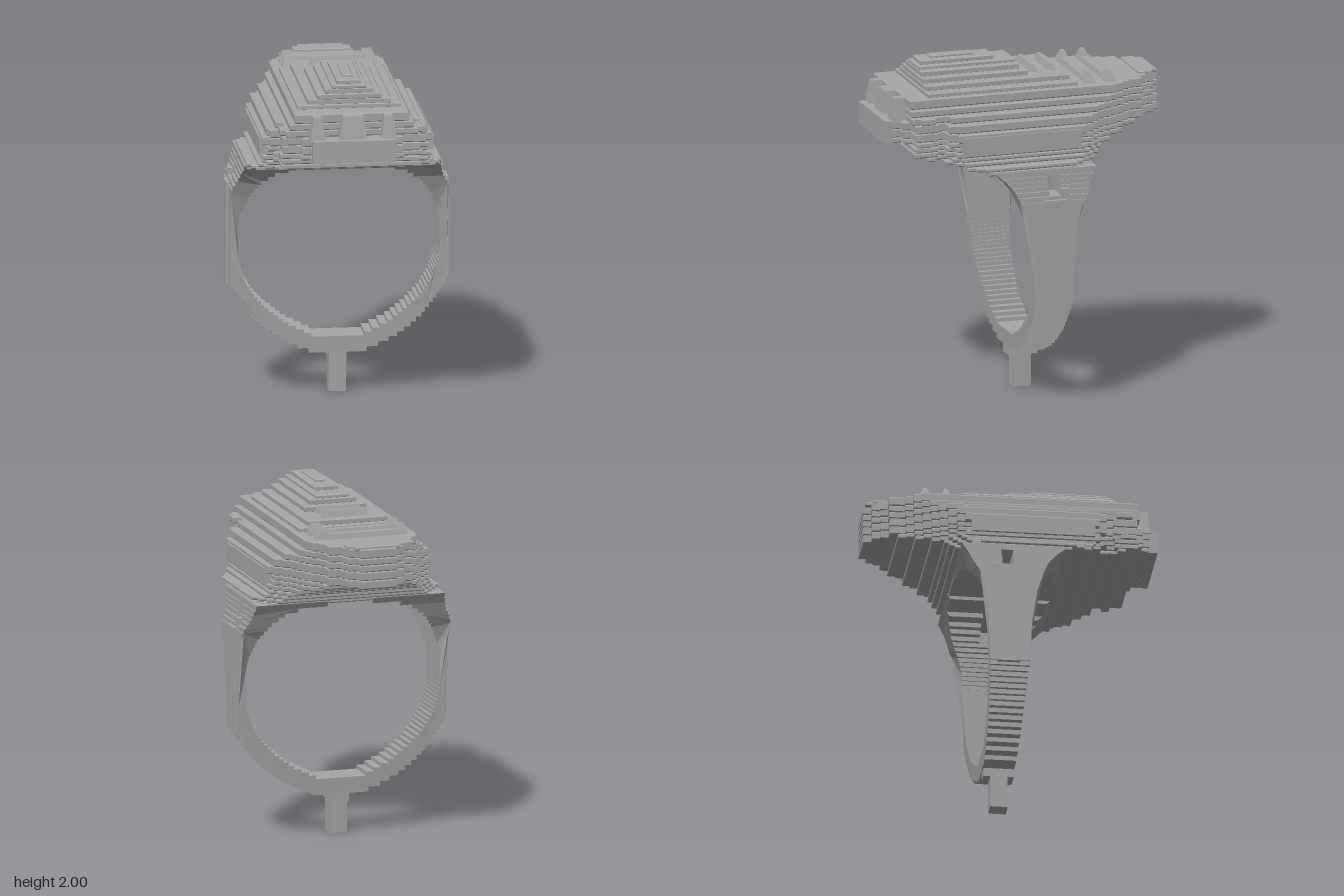
import * as THREE from 'three';

const metal = new THREE.MeshStandardMaterial({ color: 0xa6a6a6, flatShading: true });
metal.name = 'grey metal';

// Linear interpolation through [key, value] pairs
const curve = (pts) => (t) => {
  if (t <= pts[0][0]) return pts[0][1];
  for (let i = 1; i < pts.length; i++) {
    if (t <= pts[i][0]) {
      const [a, va] = pts[i - 1], [b, vb] = pts[i];
      return va + (vb - va) * (t - a) / (b - a);
    }
  }
  return pts[pts.length - 1][1];
};

// Stepped edge: constant value over each interval; tiny steps are merged
function steps(f, a, b, size, merge = 0) {
  const n = Math.max(1, Math.round((b - a) / size)), out = [];
  for (let i = 0; i < n; i++) {
    const t0 = a + (b - a) * i / n, t1 = a + (b - a) * (i + 1) / n;
    const v = f((t0 + t1) / 2), last = out[out.length - 1];
    if (last && Math.abs(last[0] - v) < merge) last[1] = t1;
    else out.push([v, t0], [v, t1]);
  }
  return out;
}

const toShape = (pts) => new THREE.Shape(pts.map(([x, y]) => new THREE.Vector2(x, y)));
const mirrored = (pts) => pts.map(([x, y]) => [-x, y]).reverse();

// Band half-widths by height
const outer = curve([[0.24, 0.13], [0.26, 0.18], [0.29, 0.25], [0.33, 0.33], [0.38, 0.4], [0.45, 0.48],
  [0.54, 0.55], [0.6, 0.59], [0.66, 0.625], [1.24, 0.625], [1.32, 0.585], [1.36, 0.575], [1.42, 0.56]]);
const inner = curve([[0.335, 0.1], [0.345, 0.15], [0.38, 0.22], [0.42, 0.3], [0.5, 0.4], [0.58, 0.48],
  [0.68, 0.54], [0.78, 0.57], [0.85, 0.58], [1.03, 0.58], [1.1, 0.56], [1.2, 0.52], [1.28, 0.46],
  [1.34, 0.38], [1.39, 0.24], [1.4, 0.1]]);
const bandFront = curve([[0.2, 0.035], [0.5, 0.045], [0.66, 0.06], [0.9, 0.07], [1.1, 0.1], [1.2, 0.13],
  [1.3, 0.17], [1.36, 0.22], [1.42, 0.29]]);
const bandBack = curve([[0.25, -0.145], [0.5, -0.16], [0.66, -0.17], [1.1, -0.19], [1.2, -0.22],
  [1.25, -0.25], [1.35, -0.29], [1.42, -0.33]]);

// Head half-width along z, and its front and back ends by height
const plan = curve([[-0.84, 0.05], [-0.8, 0.16], [-0.73, 0.18], [-0.7, 0.25], [-0.6, 0.27], [-0.57, 0.3],
  [-0.47, 0.36], [-0.4, 0.39], [-0.3, 0.48], [-0.2, 0.56], [-0.1, 0.6], [0.1, 0.6], [0.2, 0.57],
  [0.3, 0.57], [0.4, 0.52], [0.5, 0.45], [0.52, 0.37], [0.57, 0.37], [0.6, 0.41], [0.69, 0.41],
  [0.72, 0.3], [0.76, 0.25], [0.83, 0.2]]);
const headFront = curve([[1.4, 0.25], [1.43, 0.4], [1.46, 0.52], [1.5, 0.69], [1.53, 0.76], [1.56, 0.82],
  [1.58, 0.84]]);
const headBack = curve([[1.4, -0.3], [1.45, -0.37], [1.5, -0.42], [1.53, -0.53], [1.57, -0.62], [1.6, -0.84]]);

export function createModel() {
  const group = new THREE.Group();

  function add(geometry, name) {
    const mesh = new THREE.Mesh(geometry, metal);
    mesh.name = name;
    group.add(mesh);
    return mesh;
  }

  // Box given by its limits, with an optional narrower top
  function block(name, x0, x1, y0, y1, z0, z1, taper = 0) {
    const g = new THREE.BoxGeometry(x1 - x0, y1 - y0, z1 - z0), p = g.attributes.position;
    for (let i = 0; i < p.count; i++) {
      if (p.getY(i) > 0) {
        p.setX(i, p.getX(i) - Math.sign(p.getX(i)) * taper);
        p.setZ(i, p.getZ(i) - Math.sign(p.getZ(i)) * taper);
      }
    }
    g.translate((x0 + x1) / 2, (y0 + y1) / 2, (z0 + z1) / 2);
    g.computeVertexNormals();
    return add(g, name);
  }

  // Front profile whose depth follows the height
  function bandPiece(name, pts, front, back) {
    const g = new THREE.ExtrudeGeometry(toShape(pts), { depth: 1, bevelEnabled: false });
    const p = g.attributes.position;
    for (let i = 0; i < p.count; i++) {
      const y = p.getY(i);
      p.setZ(i, p.getZ(i) > 0.5 ? front(y) : back(y));
    }
    g.computeVertexNormals();
    add(g, name);
  }

  // Horizontal slab cut from the head plan, with chamfered edges
  function slab(name, y0, y1, maxX, zf, zb, holes = false) {
    const right = steps((z) => Math.min(plan(z), maxX), zb, zf, 0.045, 0.013);
    const flip = (pts) => pts.map(([x, z]) => [x, -z]);
    const shape = toShape(flip([...right, ...mirrored(right)]));
    if (holes) {
      for (const s of [-0.12, 0.12]) {
        const hole = [[s - 0.04, 0.74], [s - 0.02, 0.72], [s + 0.02, 0.72], [s + 0.04, 0.74],
          [s + 0.04, 0.77], [s + 0.02, 0.79], [s - 0.02, 0.79], [s - 0.04, 0.77]];
        shape.holes.push(toShape(flip(hole)));
      }
    }
    const b = 0.006;
    const g = new THREE.ExtrudeGeometry(shape, {
      depth: y1 - y0 - 2 * b, bevelEnabled: true, bevelThickness: b, bevelSize: b, bevelOffset: -b, bevelSegments: 1,
    });
    g.translate(0, 0, b);
    g.rotateX(-Math.PI / 2);
    g.translate(0, y0, 0);
    add(g, name);
  }

  // Lower half of the band
  const out = steps(outer, 0.24, 0.8, 0.028), inn = steps(inner, 0.335, 0.8, 0.022);
  bandPiece('lowerBand', [...mirrored(out), ...out, ...[...inn].reverse(), ...inn.map(([x, y]) => [-x, y])],
    bandFront, bandBack);

  // Band sides, split by a small slot near the shoulders
  function bandSides(name, y0, y1, front, back) {
    const pts = [...steps(outer, y0, y1, 0.03), ...steps(inner, y0, y1, 0.025).reverse()];
    bandPiece(name, pts, front, back);
    bandPiece(name, mirrored(pts), front, back);
  }
  bandSides('bandSide', 0.8, 1.27, bandFront, bandBack);
  bandSides('shoulderFront', 1.27, 1.38, bandFront, () => -0.03);
  bandSides('shoulderBack', 1.27, 1.38, () => -0.1, bandBack);
  bandSides('shoulderTop', 1.38, 1.415, bandFront, bandBack);

  // Raised panels, shoulder studs and side skirts
  for (const s of [-1, 1]) {
    const side = (name, x0, x1, ...rest) => block(name, Math.min(s * x0, s * x1), Math.max(s * x0, s * x1), ...rest);
    side('bandPanel', 0.6, 0.64, 0.65, 1.25, -0.13, 0.0);
    side('shoulderStud', 0.56, 0.62, 1.25, 1.31, -0.15, -0.1);
    side('sideSkirt', 0.42, 0.5, 1.525, 1.62, -0.26, 0.45);
  }

  // Stem under the band
  block('stem', -0.05, 0.05, 0, 0.26, -0.1, 0);
  block('stemCollar', -0.05, 0.05, 0.19, 0.26, -0.14, 0.035);

  // Sloping underside of the head
  const edges = [1.4, 1.425, 1.45, 1.475, 1.5, 1.53, 1.56, 1.59];
  const widths = [0.565, 0.56, 0.51, 0.49, 0.485, 0.475, 0.475];
  widths.forEach((w, i) => {
    const y = (edges[i] + edges[i + 1]) / 2;
    const front = headFront(y);
    slab('underbody', edges[i], edges[i + 1], w, front > 0.71 && front < 0.81 ? 0.71 : front, headBack(y), front > 0.81);
  });

  // Upright body, stepping inwards
  slab('body', 1.59, 1.64, 0.49, 0.84, -0.84, true);
  slab('body', 1.64, 1.69, 0.475, 0.84, -0.84, true);
  slab('upperBody', 1.69, 1.73, 0.42, 0.72, -0.84);
  slab('upperBody', 1.73, 1.77, 0.36, 0.72, -0.84);
  slab('upperBody', 1.77, 1.825, 0.33, 0.72, -0.84);
  slab('tailRim', 1.815, 1.84, 0.3, -0.71, -0.83);

  // Nose blocks between the front openings
  for (const [a, b] of [[-0.25, -0.16], [-0.08, 0.08], [0.16, 0.25]]) {
    block('noseBlock', a, b, 1.68, 1.82, 0.7, 0.8, 0.02);
  }
  block('bumper', -0.24, 0.24, 1.56, 1.69, 0.79, 0.84);

  // Stepped roof
  const roof = [
    [1.82, 1.85, 0.3, 0.6, -0.3], [1.845, 1.88, 0.24, 0.595, -0.27], [1.875, 1.91, 0.185, 0.595, -0.04],
    [1.905, 1.94, 0.14, 0.59, 0], [1.935, 1.96, 0.1, 0.59, 0.01], [1.955, 1.985, 0.07, 0.57, 0.13],
    [1.98, 2.0, 0.03, 0.5, 0.24],
  ];
  for (const r of roof) slab('roof', ...r);

  // Louvres and rear bars with end peaks
  for (const z of [-0.09, -0.2]) block('louvre', -0.14, 0.14, 1.87, 1.92, z - 0.025, z + 0.025, 0.015);
  for (const z of [-0.38, -0.5]) {
    block('rearBar', -0.28, 0.28, 1.81, 1.855, z - 0.04, z + 0.03, 0.012);
    for (const s of [-0.23, 0.23]) block('barPeak', s - 0.045, s + 0.045, 1.84, 1.89, z - 0.03, z + 0.025, 0.018);
  }
  return group;
}
